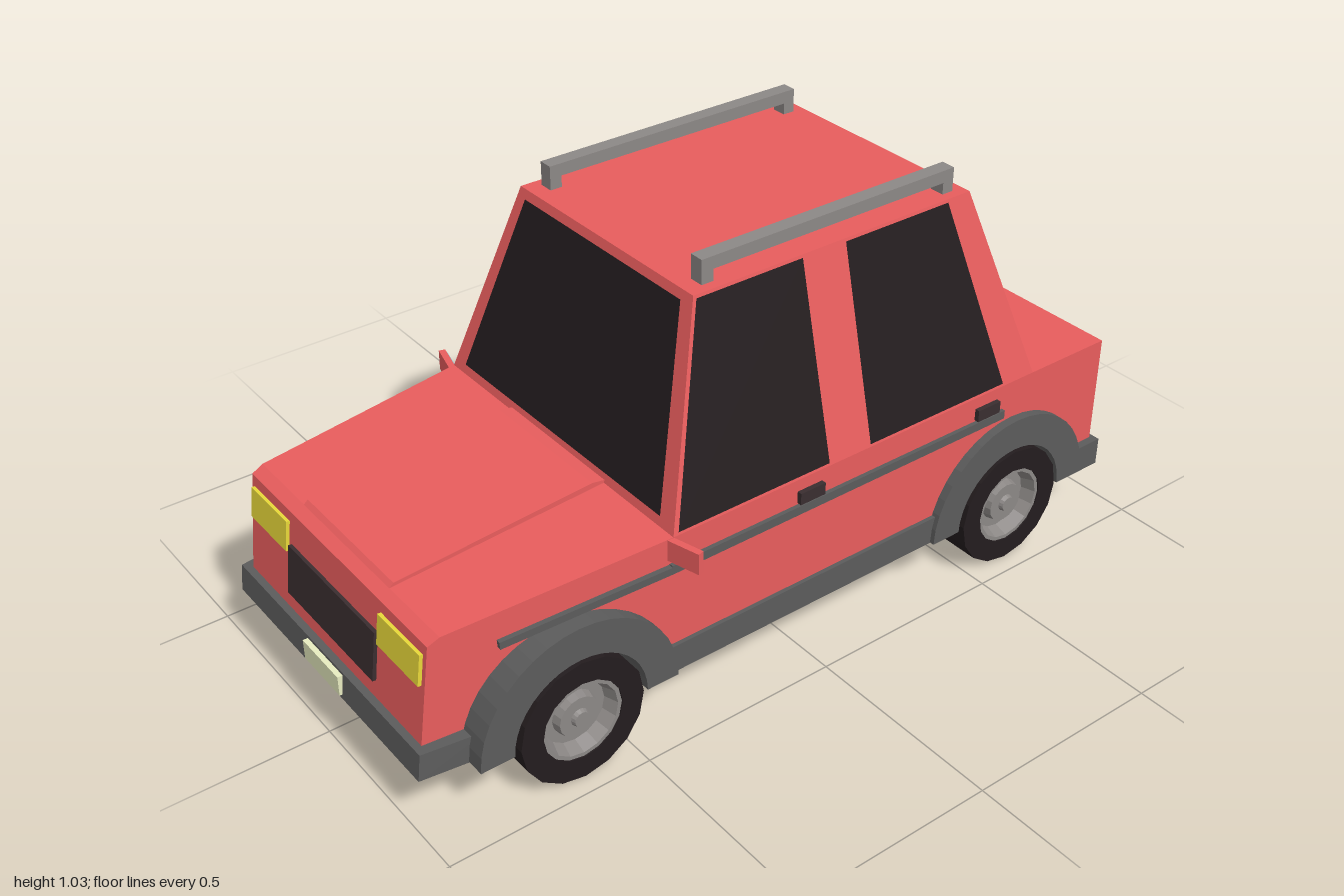
import * as THREE from 'three';

const mat = (color) => new THREE.MeshStandardMaterial({ color, flatShading: true, side: THREE.DoubleSide });
const lerp = THREE.MathUtils.lerp;

export function createModel() {
  const car = new THREE.Group();
  car.name = 'car';
  const red = mat(0xe85d5d), trim = mat(0x5c5c5c), metal = mat(0x8c8886), black = mat(0x231c1e);
  const yellow = mat(0xe8d83a), cream = mat(0xe8ecc0), grille = mat(0x3a2e30), mirrorBlue = mat(0x8fc4d0);

  const add = (name, geo, material, parent = car) => {
    const m = new THREE.Mesh(geo, material);
    m.name = name;
    parent.add(m);
    return m;
  };
  // box given by its limits
  const box = (name, x0, x1, y0, y1, z0, z1, material) => {
    const m = add(name, new THREE.BoxGeometry(x1 - x0, y1 - y0, z1 - z0), material);
    m.position.set((x0 + x1) / 2, (y0 + y1) / 2, (z0 + z1) / 2);
    return m;
  };
  // square bar between two points
  const bar = (name, a, b, w, h, material) => {
    const p = new THREE.Vector3(...a), q = new THREE.Vector3(...b);
    const m = new THREE.Mesh(new THREE.BoxGeometry(w, h, p.distanceTo(q)), material);
    m.name = name;
    m.position.copy(p).lerp(q, 0.5);
    m.lookAt(q);
    car.add(m);
    return m;
  };
  // side profile drawn in (z, y), extruded across x
  const sideExtrude = (shape, x0, x1) =>
    new THREE.ExtrudeGeometry(shape, { depth: x1 - x0, bevelEnabled: false, curveSegments: 10 })
      .rotateY(-Math.PI / 2).translate(x1, 0, 0);
  const reshape = (geo, rule) => {
    const p = geo.attributes.position, v = new THREE.Vector3();
    for (let i = 0; i < p.count; i++) {
      rule(v.fromBufferAttribute(p, i));
      p.setXYZ(i, v.x, v.y, v.z);
    }
    geo.computeVertexNormals();
    return geo;
  };

  // lower body: straight rear part and tapered nose, with wheel arches cut out
  const wheelZ = [0.635, -0.62], archR = 0.19;
  const taper = (v) => { v.x *= lerp(1, 0.865, (v.z - 0.38) / 0.57); };
  const rear = new THREE.Shape();
  rear.moveTo(0.38, 0.15).lineTo(0.38, 0.5).lineTo(-0.92, 0.5).lineTo(-0.92, 0.15).lineTo(wheelZ[1] - archR, 0.15);
  rear.absarc(wheelZ[1], 0.15, archR, Math.PI, 0, true);
  add('rearBody', sideExtrude(rear, -0.43, 0.43), red);
  const nose = new THREE.Shape();
  nose.moveTo(0.38, 0.5).lineTo(0.38, 0.15).lineTo(wheelZ[0] - archR, 0.15);
  nose.absarc(wheelZ[0], 0.15, archR, Math.PI, 0, true);
  nose.lineTo(0.965, 0.15).lineTo(0.97, 0.21).lineTo(0.938, 0.455).lineTo(0.91, 0.468);
  add('nose', reshape(sideExtrude(nose, -0.43, 0.43), taper), red);

  // raised hood centre
  const hood = new THREE.Shape();
  hood.moveTo(0.925, 0.455).lineTo(0.9, 0.477).lineTo(0.41, 0.512).lineTo(0.375, 0.506).lineTo(0.375, 0.48);
  add('hoodBulge', sideExtrude(hood, -0.182, 0.182), red);

  // cabin
  const Y0 = 0.5, Y1 = 0.972;
  const t = (y) => (y - Y0) / (Y1 - Y0);
  const halfW = (y) => lerp(0.43, 0.315, t(y));
  const frontZ = (y) => lerp(0.38, 0.24, t(y));
  const backZ = (y) => lerp(-0.68, -0.535, t(y));
  add('cabin', reshape(new THREE.BoxGeometry(1, 1, 1), (v) => {
    v.y = v.y > 0 ? Y1 : Y0;
    v.x = Math.sign(v.x) * halfW(v.y);
    v.z = v.z > 0 ? frontZ(v.y) : backZ(v.y);
  }), red);

  // window panes, lifted just off the cabin faces
  const pane = (name, pts) => {
    const p = pts.map((c) => new THREE.Vector3(...c));
    const n = p[1].clone().sub(p[0]).cross(p[2].clone().sub(p[0])).normalize();
    if (n.dot(p[0].clone().sub(new THREE.Vector3(0, 0.75, -0.15))) < 0) { n.negate(); p.reverse(); }
    p.forEach((c) => c.addScaledVector(n, 0.004));
    const g = new THREE.BufferGeometry().setFromPoints(p);
    g.setIndex([0, 1, 2, 0, 2, 3]);
    g.computeVertexNormals();
    add(name, g, black);
  };
  const endPane = (name, zAt) => pane(name, [[-0.38, 0.523, zAt(0.523)], [0.38, 0.523, zAt(0.523)],
    [0.285, 0.952, zAt(0.952)], [-0.285, 0.952, zAt(0.952)]]);
  endPane('windscreen', frontZ);
  endPane('rearWindow', backZ);

  for (const s of [1, -1]) {
    const onSide = (z, y) => [s * halfW(y), y, z];
    pane('frontSideWindow', [onSide(0.368, 0.508), onSide(-0.045, 0.508), onSide(-0.045, 0.966), onSide(0.236, 0.966)]);
    pane('rearSideWindow', [onSide(-0.165, 0.508), onSide(-0.578, 0.508), onSide(-0.465, 0.966), onSide(-0.165, 0.966)]);

    // roof rail on two feet
    bar('roofRail', [s * 0.273, 1.015, 0.2], [s * 0.273, 1.015, -0.505], 0.036, 0.03, metal);
    for (const z of [0.185, -0.49])
      box('railFoot', s * 0.273 - 0.018, s * 0.273 + 0.018, 0.965, 1.005, z - 0.015, z + 0.015, metal);

    // side trim, handles and sill
    bar('sideTrim', [s * 0.43, 0.425, 0.39], [s * 0.43, 0.425, -0.585], 0.02, 0.022, trim);
    bar('noseTrim', [s * 0.432, 0.425, 0.39], [s * 0.39, 0.4, 0.79], 0.02, 0.018, trim);
    for (const z of [0.008, -0.53])
      bar('doorHandle', [s * 0.43, 0.455, z - 0.035], [s * 0.43, 0.455, z + 0.035], 0.024, 0.03, grille);
    bar('sill', [s * 0.42, 0.184, 0.42], [s * 0.42, 0.184, -0.4], 0.04, 0.07, trim);

    // door mirror
    bar('mirror', [s * 0.415, 0.472, 0.39], [s * 0.507, 0.474, 0.367], 0.016, 0.052, red);
    bar('mirrorGlass', [s * 0.445, 0.472, 0.372], [s * 0.5, 0.474, 0.359], 0.004, 0.04, mirrorBlue);

    // lights
    const lamp = box('headlight', s * 0.278 - 0.082, s * 0.278 + 0.082, 0.355, 0.43, 0.93, 0.955, yellow);
    lamp.rotation.x = -0.13;
    box('tailLight', s * 0.335 - 0.073, s * 0.335 + 0.073, 0.4, 0.465, -0.93, -0.91, yellow);

    for (const z of wheelZ) {
      // wheel arch flare
      const arch = new THREE.Shape();
      arch.absarc(z, 0.15, 0.25, 0, Math.PI, false);
      arch.absarc(z, 0.15, 0.168, Math.PI, 0, true);
      const x0 = 0.34, x1 = 0.452;
      add('wheelArch', s > 0 ? sideExtrude(arch, x0, x1) : sideExtrude(arch, -x1, -x0), trim);

      // wheel: tyre and stepped rim
      const wheel = new THREE.Group();
      wheel.name = 'wheel';
      const turned = (pts, seg) =>
        new THREE.LatheGeometry(pts.map((c) => new THREE.Vector2(...c)), seg).rotateZ(-Math.PI / 2);
      add('tyre', turned([[0, -0.067], [0.155, -0.067], [0.155, 0.067], [0.1, 0.067], [0.095, 0.02]], 16), black, wheel);
      add('rim', turned([[0.1, 0.064], [0.09, 0.064], [0.078, 0.03], [0.055, 0.03], [0.05, 0.052],
        [0.022, 0.052], [0.018, 0.062], [0, 0.062]], 16), metal, wheel);
      wheel.position.set(s * 0.388, 0.157, z);
      if (s < 0) wheel.rotation.y = Math.PI;
      car.add(wheel);
    }
  }

  // axles with a thick housing and a middle ring
  const axle = [[0, -0.34], [0.028, -0.34], [0.028, -0.265], [0.055, -0.245], [0.055, -0.014], [0.066, -0.014],
    [0.066, 0.014], [0.055, 0.014], [0.055, 0.245], [0.028, 0.265], [0.028, 0.34], [0, 0.34]];
  for (const z of wheelZ)
    add('axle', new THREE.LatheGeometry(axle.map((c) => new THREE.Vector2(...c)), 10).rotateZ(-Math.PI / 2), metal)
      .position.set(0, 0.155, z);

  // bumpers, grille, plates
  const frontBumper = new THREE.BoxGeometry(0.8, 0.066, 0.15).translate(0, 0.181, 0.92);
  add('frontBumper', reshape(frontBumper, (v) => {
    if (v.z < 0.9) v.x *= 1.03;
    else { v.x *= 0.98; if (v.y > 0.18) v.z -= 0.008; }
  }), trim);
  box('rearBumper', -0.45, 0.45, 0.148, 0.22, -0.932, -0.83, trim);
  box('frontPlate', -0.077, 0.077, 0.158, 0.208, 0.98, 1.0, cream);
  box('grille', -0.186, 0.186, 0.256, 0.377, 0.938, 0.965, grille).rotation.x = -0.13;
  box('rearPanel', -0.19, 0.19, 0.275, 0.405, -0.932, -0.91, grille);

  // exhaust
  const pipe = new THREE.CatmullRomCurve3([[-0.36, 0.15, -0.76], [-0.36, 0.122, -0.84], [-0.36, 0.114, -0.91],
    [-0.36, 0.114, -1]].map((c) => new THREE.Vector3(...c)));
  add('exhaust', new THREE.TubeGeometry(pipe, 6, 0.03, 8), metal);
  add('exhaustInner', new THREE.TubeGeometry(pipe, 6, 0.023, 8), trim);

  return car;
}
